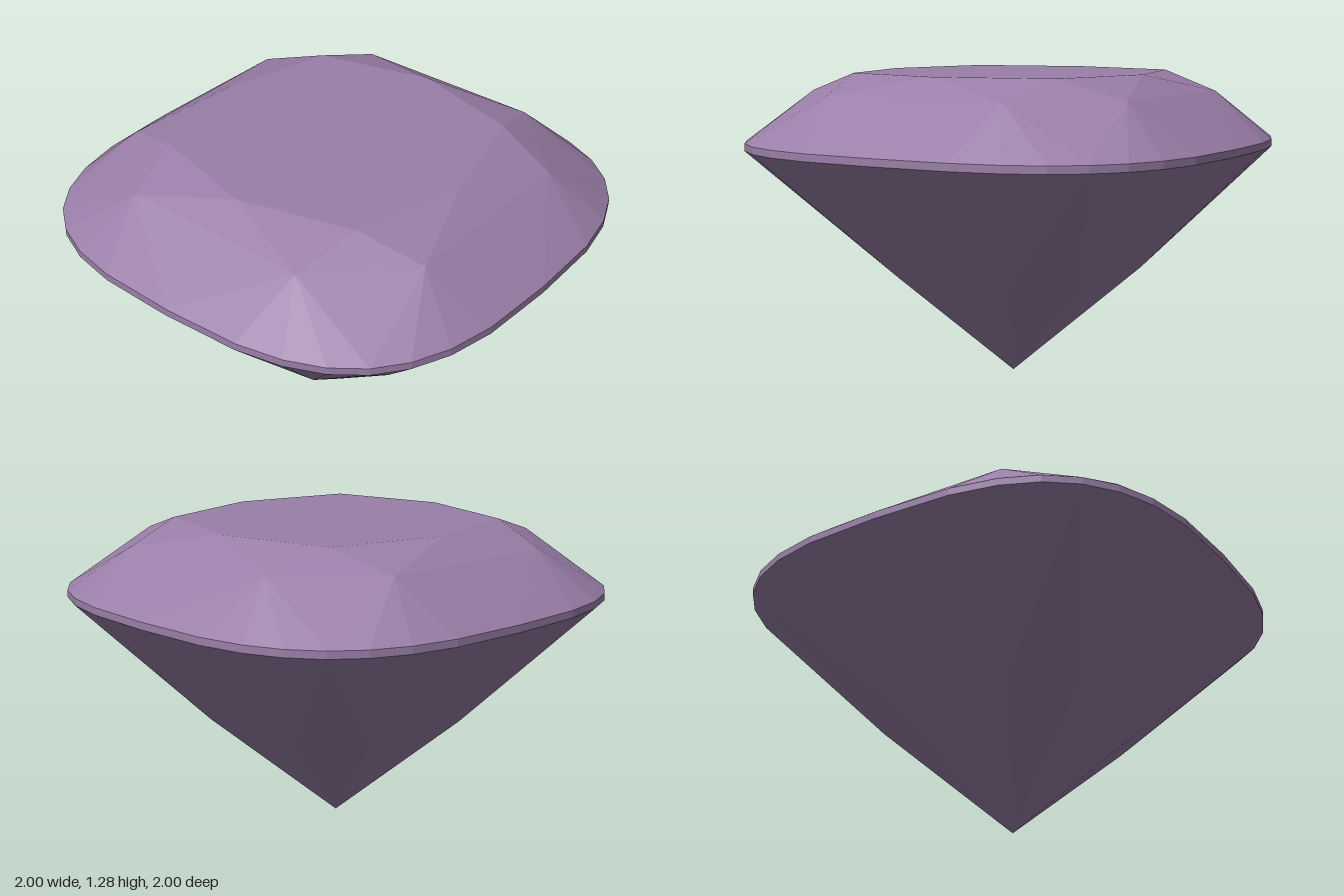
import * as THREE from 'three';

const SIDES = 32; // girdle points; the facets repeat every 4 of them

// Point i of a rounded-square ring, scaled by s, at height y
function point(i, s, y) {
  const a = (i / SIDES) * Math.PI * 2;
  const round = (v) => Math.sign(v) * Math.pow(Math.abs(v), 0.678);
  return [s * round(Math.cos(a)), y, s * round(Math.sin(a))];
}

// Flat-faceted mesh from a list of triangles
function facets(name, triangles, material) {
  const geometry = new THREE.BufferGeometry();
  geometry.setAttribute('position', new THREE.Float32BufferAttribute(triangles.flat(2), 3));
  geometry.computeVertexNormals();
  const mesh = new THREE.Mesh(geometry, material);
  mesh.name = name;
  return mesh;
}

export function createModel() {
  const gem = new THREE.Group();
  gem.name = 'cushionCutGem';
  const violet = new THREE.MeshStandardMaterial({ color: 0x9a7fa8, flatShading: true });
  violet.name = 'violet';

  const tableAt = (k) => point(4 * k, 0.6, 1.28);
  const crownAt = (k) => point(4 * k + 2, 0.78, 1.2);
  const pavilionAt = (k) => point(4 * k + 2, 0.5, 0.45);
  const upper = (i) => point(i, 1, 1);
  const lower = (i) => point(i, 1, 0.97);
  const tip = [0, 0, 0];

  const table = [], crown = [], girdle = [], pavilion = [];
  for (let k = 0; k < 8; k++) {
    table.push([[0, 1.28, 0], tableAt(k + 1), tableAt(k)]);

    // Star facet, then the two halves of the kite facet
    crown.push([tableAt(k), tableAt(k + 1), crownAt(k)]);
    crown.push([tableAt(k), crownAt(k), crownAt(k - 1)]);
    crown.push([crownAt(k - 1), crownAt(k), upper(4 * k)]);

    // Main facets below the girdle, running down to the tip
    pavilion.push([pavilionAt(k), pavilionAt(k - 1), lower(4 * k)]);
    pavilion.push([pavilionAt(k - 1), pavilionAt(k), tip]);

    // Fans to the girdle and the thin girdle band
    for (let i = 4 * k; i < 4 * k + 4; i++) {
      crown.push([crownAt(k), upper(i + 1), upper(i)]);
      girdle.push([upper(i), upper(i + 1), lower(i)]);
      girdle.push([upper(i + 1), lower(i + 1), lower(i)]);
      pavilion.push([pavilionAt(k), lower(i), lower(i + 1)]);
    }
  }

  gem.add(
    facets('table', table, violet),
    facets('crown', crown, violet),
    facets('girdle', girdle, violet),
    facets('pavilion', pavilion, violet),
  );
  gem.rotation.y = -0.0175; // slight turn of the stone
  return gem;
}
